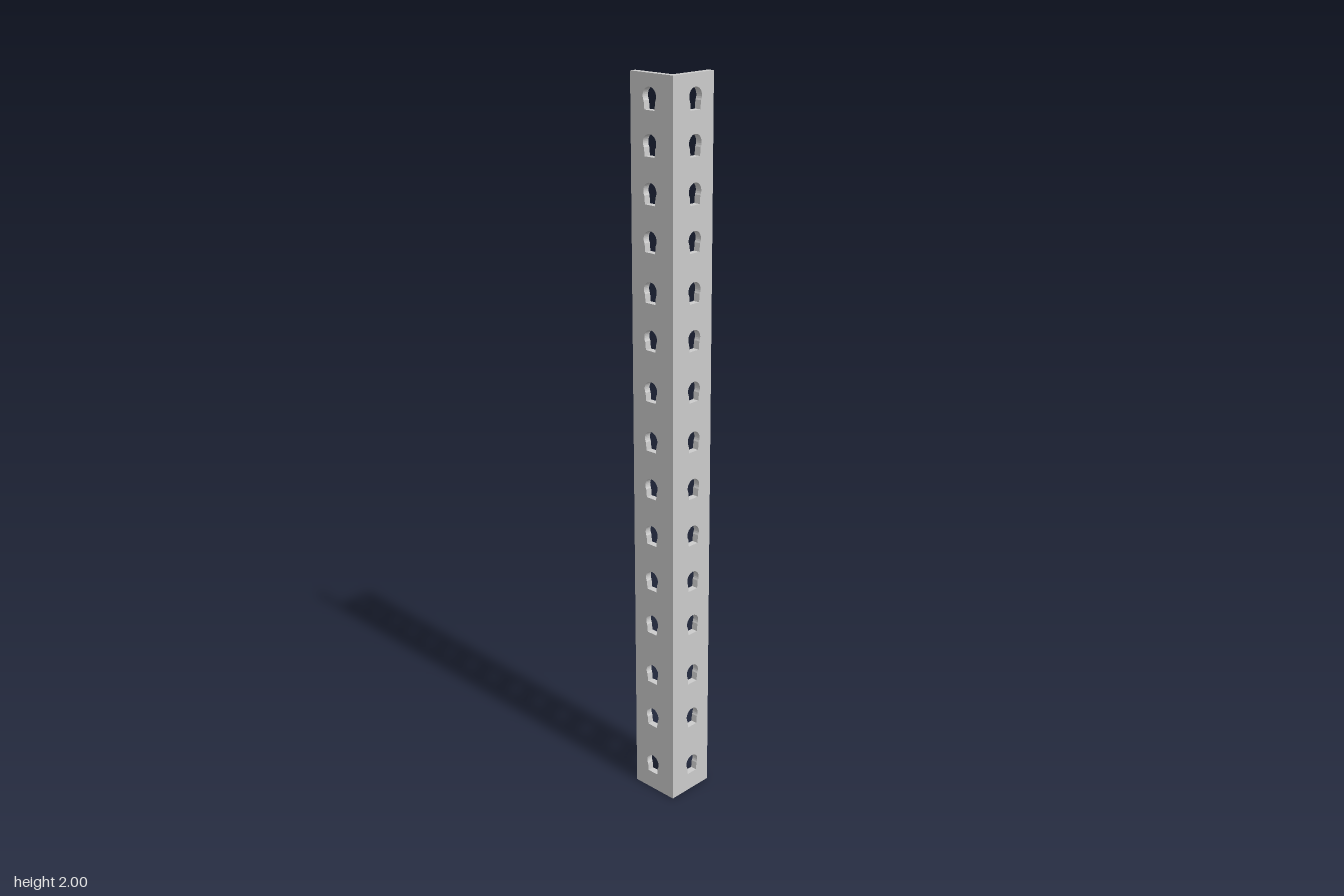
import * as THREE from 'three';

const HALF = 0.0715, THICK = 0.0185, INNER = HALF - THICK, HEIGHT = 2;
const HOLE_HEIGHTS = [0.08, 0.233, 0.371, 0.525, 0.657, 0.792, 0.927, 1.06,
  1.197, 1.335, 1.46, 1.59, 1.71, 1.828, 1.94];

// Arch-topped slot with a slightly narrower flat foot
function slot(cx, cy) {
  const hole = new THREE.Path();
  hole.moveTo(cx - 0.017, cy - 0.028);
  hole.lineTo(cx + 0.017, cy - 0.028);
  hole.absarc(cx, cy + 0.005, 0.0225, -0.55, Math.PI + 0.55, false);
  hole.closePath();
  return hole;
}

// Upright plate between two edges, punched with the row of slots
function flange(from, to, slotCentre) {
  const shape = new THREE.Shape();
  shape.moveTo(from, 0);
  shape.lineTo(to, 0);
  shape.lineTo(to, HEIGHT);
  shape.lineTo(from, HEIGHT);
  shape.closePath();
  for (const y of HOLE_HEIGHTS) shape.holes.push(slot(slotCentre, y));
  return new THREE.ExtrudeGeometry(shape, { depth: THICK, bevelEnabled: false, curveSegments: 10 });
}

export function createModel() {
  const group = new THREE.Group();
  group.name = 'slottedAngleBar';
  const material = new THREE.MeshStandardMaterial({ color: 0xcccccc, flatShading: true });

  // Front flange spans the full width
  const front = new THREE.Mesh(flange(-HALF, HALF, 0.007), material);
  front.name = 'frontFlange';
  front.position.z = INNER;
  group.add(front);

  // Side flange runs back from the front one along the right edge
  const side = new THREE.Mesh(flange(-HALF, INNER, -0.007).rotateY(-Math.PI / 2), material);
  side.name = 'sideFlange';
  side.position.x = -INNER;
  group.add(side);

  return group;
}
